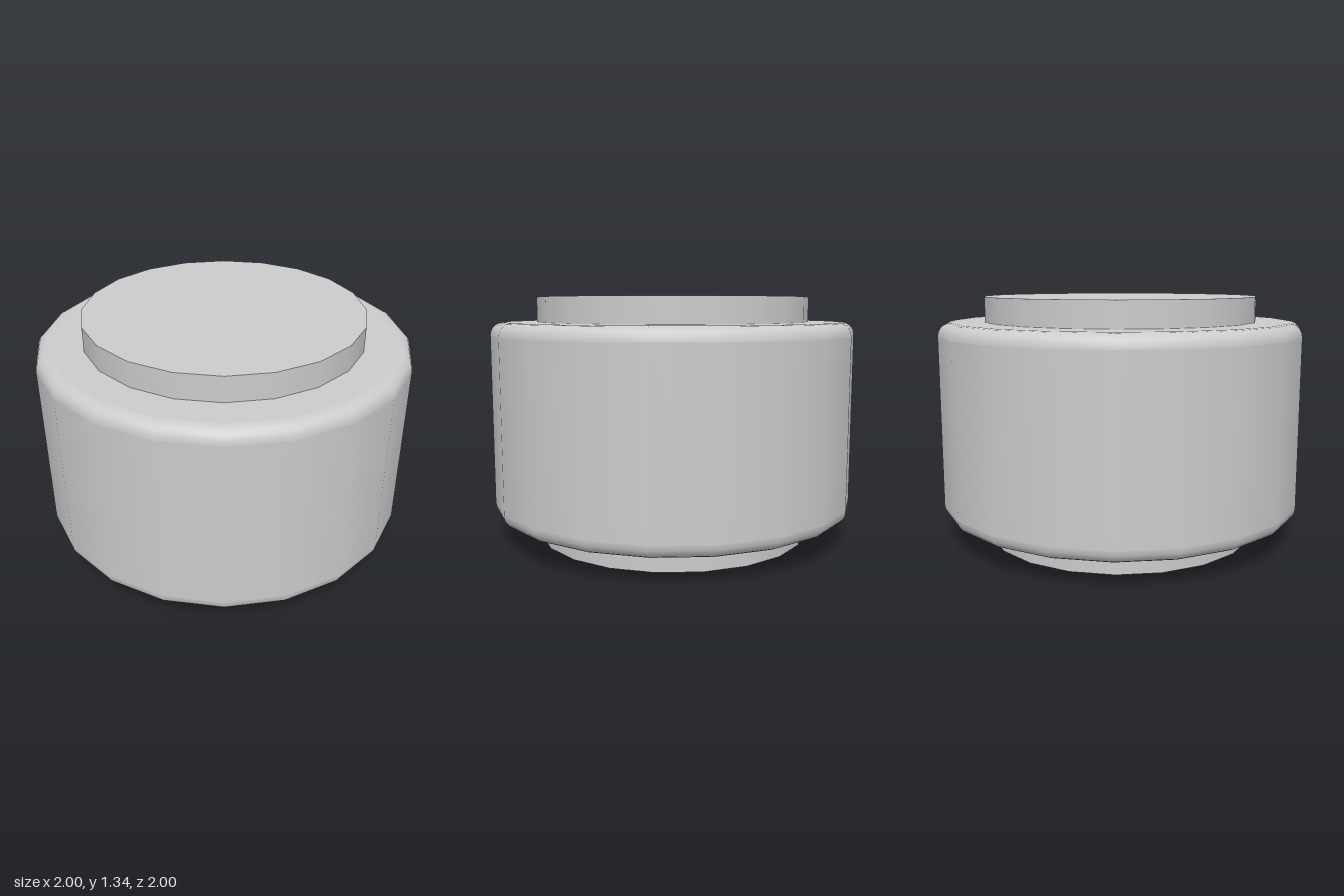
import * as THREE from 'three';

const SIDES = 20;
const HEIGHT = 1.335;

// Rounded-edge profile, running from the bottom face outwards and up to the top face
function barrelProfile(radius, bottom, top, bevel, steps = 5) {
  const points = [new THREE.Vector2(0, bottom), new THREE.Vector2(radius - bevel - 0.005, bottom)];
  const corner = (y, start) => {
    for (let i = 0; i <= steps; i++) {
      const a = start + (i / steps) * Math.PI / 2;
      points.push(new THREE.Vector2(radius - bevel + bevel * Math.cos(a), y + bevel * Math.sin(a)));
    }
  };
  corner(bottom + bevel, -Math.PI / 2);
  // Support points keep the wall and faces evenly shaded
  points.push(new THREE.Vector2(radius, bottom + bevel + 0.005));
  points.push(new THREE.Vector2(radius, top - bevel - 0.005));
  corner(top - bevel, 0);
  points.push(new THREE.Vector2(radius - bevel - 0.005, top), new THREE.Vector2(0, top));
  return points;
}

export function createModel() {
  const group = new THREE.Group();
  group.name = 'roller';
  const material = new THREE.MeshStandardMaterial({ color: 0xcccccc });

  // Wide barrel with rounded rims
  const barrel = new THREE.Mesh(
    new THREE.LatheGeometry(barrelProfile(1, 0.14, 1.2, 0.07), SIDES), material);
  barrel.name = 'barrel';
  group.add(barrel);

  // Narrower core standing out at both ends
  const core = new THREE.Mesh(new THREE.CylinderGeometry(0.75, 0.75, HEIGHT, SIDES), material);
  core.name = 'core';
  core.position.y = HEIGHT / 2;
  group.add(core);

  return group;
}
